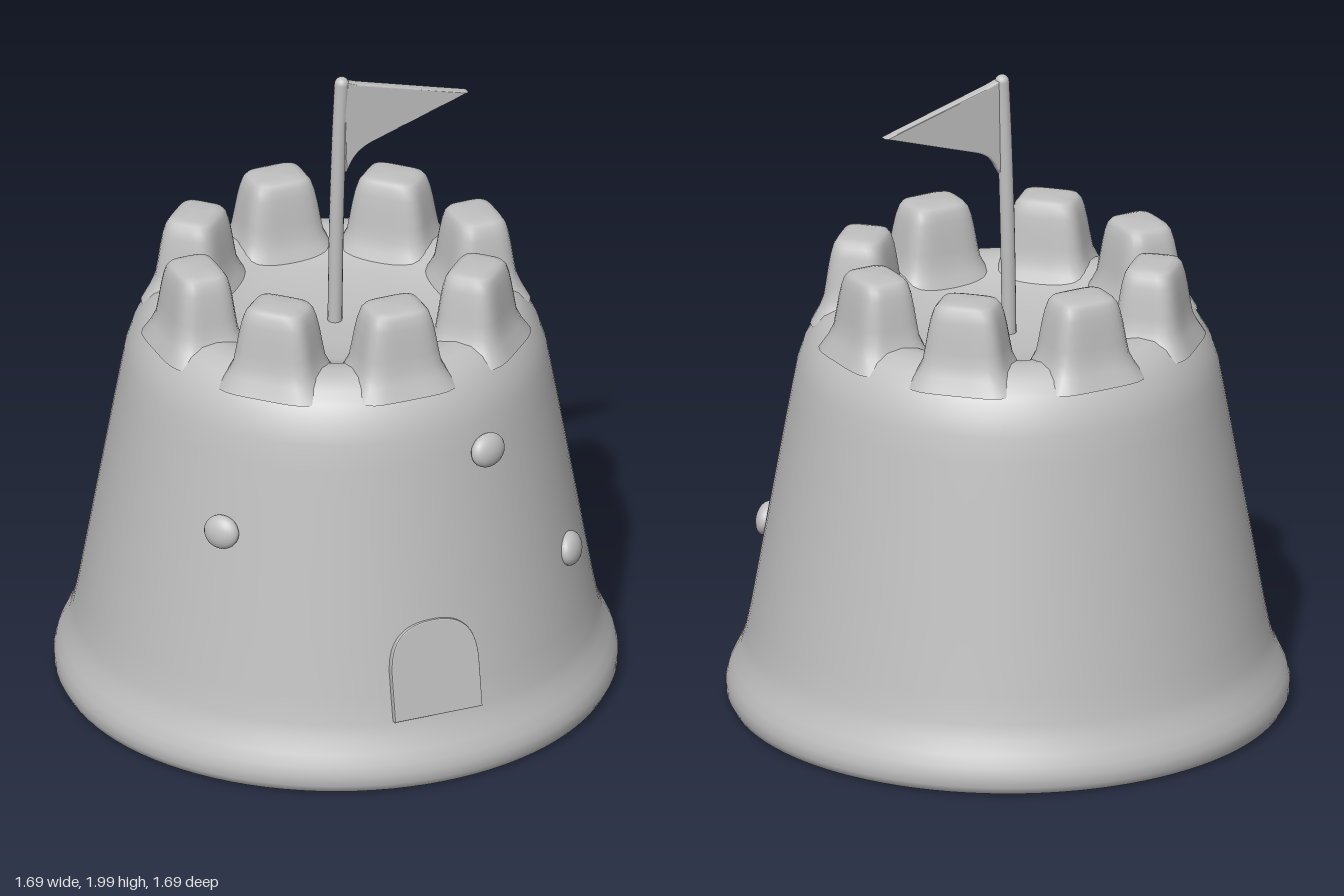
import * as THREE from 'three';
import { mergeVertices } from 'three/addons/utils/BufferGeometryUtils.js';

const sand = new THREE.MeshStandardMaterial({ color: 0xc0c0c0 });
sand.name = 'grey sand';

function add(parent, name, geometry) {
  const mesh = new THREE.Mesh(geometry, sand);
  mesh.name = name;
  parent.add(mesh);
  return mesh;
}

const lathe = (pts, segments) =>
  new THREE.LatheGeometry(pts.map(([r, y]) => new THREE.Vector2(r, y)), segments);

// Battlement block: a turned profile squared off into a rounded box
function merlonGeometry() {
  const g = lathe([
    [1.7, 1.19], [1.42, 1.235], [1.26, 1.27], [1.19, 1.31], [1.11, 1.36], [1.03, 1.4],
    [0.94, 1.428], [0.82, 1.443], [0.6, 1.449], [0, 1.451],
  ], 40);
  const p = g.attributes.position;
  for (let i = 0; i < p.count; i++) {
    const x = p.getX(i), z = p.getZ(i), r = Math.hypot(x, z);
    if (r < 1e-6) continue;
    const c = Math.abs(x / r), s = Math.abs(z / r);
    const k = 1 / Math.pow(c ** 4.5 + s ** 4.5, 1 / 4.5);
    p.setX(i, x * k * 0.1);
    p.setZ(i, z * k * 0.08);
  }
  g.deleteAttribute('uv');
  g.deleteAttribute('normal');
  const merged = mergeVertices(g, 1e-5);
  merged.computeVertexNormals();
  return merged;
}

export function createModel() {
  const castle = new THREE.Group();
  castle.name = 'sandCastle';

  // Tower with a swollen foot, rounded shoulder and dished top
  add(castle, 'tower', lathe([
    [0.81, 0.012], [0.832, 0.018], [0.843, 0.04], [0.844, 0.07], [0.836, 0.1], [0.82, 0.135],
    [0.8, 0.175], [0.786, 0.22], [0.77, 0.3], [0.735, 0.5], [0.7, 0.7], [0.665, 0.9],
    [0.647, 1.0], [0.632, 1.08], [0.612, 1.14], [0.582, 1.19], [0.55, 1.225],
    [0.51, 1.248], [0.46, 1.254], [0.41, 1.245], [0.36, 1.22], [0.29, 1.195], [0.15, 1.18], [0, 1.175],
  ], 96));

  // Flat underside
  const base = add(castle, 'underside', new THREE.CircleGeometry(0.812, 96));
  base.rotation.x = Math.PI / 2;
  base.position.y = 0.012;

  // Ring of eight battlements
  const block = merlonGeometry();
  for (let i = 0; i < 8; i++) {
    const a = i * Math.PI / 4;
    const m = add(castle, 'battlement' + (i + 1), block);
    m.position.set(Math.sin(a) * 0.452, 0, Math.cos(a) * 0.452);
    m.rotation.y = a;
  }

  // Flagpole, leaning a little
  const path = new THREE.CatmullRomCurve3([
    new THREE.Vector3(-0.004, 1.15, 0), new THREE.Vector3(0, 1.5, 0.003),
    new THREE.Vector3(0.006, 1.8, 0.01), new THREE.Vector3(0.012, 1.978, 0.015),
  ]);
  add(castle, 'flagpole', new THREE.TubeGeometry(path, 20, 0.022, 16));
  const tip = add(castle, 'flagpoleTip', new THREE.SphereGeometry(0.022, 16, 12));
  tip.position.set(0.012, 1.978, 0.015);

  // Pennant
  const flag = new THREE.Shape();
  flag.moveTo(0.015, 1.985);
  flag.lineTo(0.06, 1.968);
  flag.lineTo(0.41, 1.872);
  flag.lineTo(0.1, 1.772);
  flag.quadraticCurveTo(0.04, 1.75, 0.022, 1.69);
  const cloth = add(castle, 'flag', new THREE.ExtrudeGeometry(flag, {
    depth: 0.014, bevelEnabled: true, bevelThickness: 0.008, bevelSize: 0.006, bevelSegments: 3, curveSegments: 8,
  }));
  cloth.position.z = 0.01;

  // Arched door lying on the sloping wall
  const arch = new THREE.Shape();
  arch.moveTo(-0.138, 0);
  arch.lineTo(0.138, 0);
  arch.lineTo(0.138, 0.15);
  arch.bezierCurveTo(0.135, 0.25, 0.09, 0.293, 0, 0.293);
  arch.bezierCurveTo(-0.09, 0.293, -0.135, 0.25, -0.138, 0.15);
  const door = add(castle, 'door', new THREE.ExtrudeGeometry(arch, {
    depth: 0.03, bevelEnabled: true, bevelThickness: 0.004, bevelSize: 0.004, bevelSegments: 2, curveSegments: 16,
  }));
  door.position.set(0, 0.222, 0.757);
  door.rotation.x = -0.173;

  // Pebbles pressed into the wall: x, y, z, half width, half height
  [
    [0.23, 0.99, 0.622, 0.062, 0.052],
    [-0.553, 0.78, 0.428, 0.057, 0.052],
    [0.556, 0.522, 0.483, 0.06, 0.051],
  ].forEach(([x, y, z, w, h], i) => {
    const pebble = add(castle, 'pebble' + (i + 1), new THREE.SphereGeometry(1, 24, 16));
    pebble.scale.set(w, h, 0.032);
    pebble.position.set(x, y, z);
    pebble.rotation.set(-0.173, Math.atan2(x, z), 0, 'YXZ');
  });

  return castle;
}
